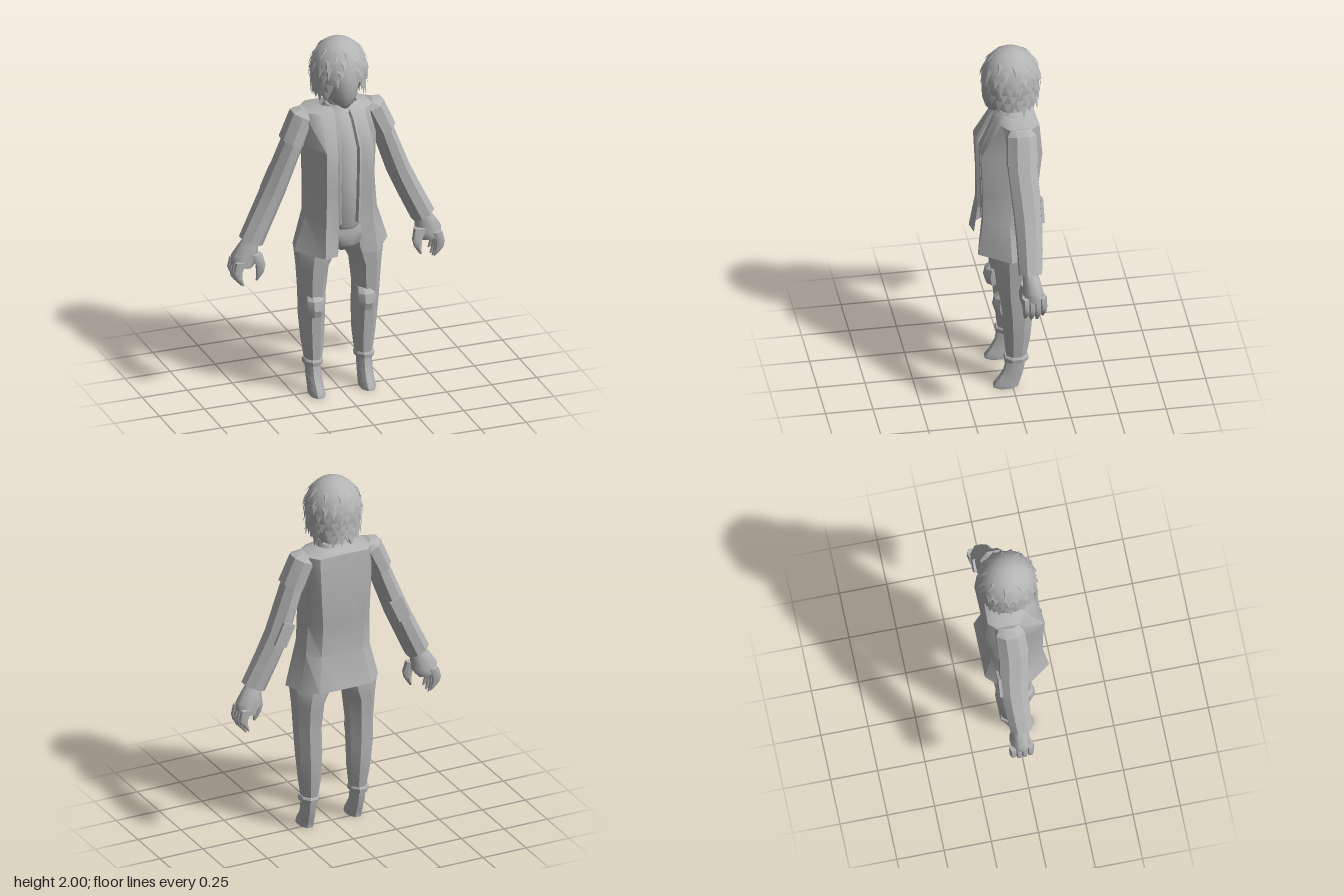
import * as THREE from 'three';
import { toCreasedNormals } from 'three/addons/utils/BufferGeometryUtils.js';

const grey = new THREE.MeshStandardMaterial({ color: 0xb4b4b4, side: THREE.DoubleSide });
grey.name = 'plain grey';

function meshFrom(name, positions, crease) {
  const g = new THREE.BufferGeometry();
  g.setAttribute('position', new THREE.Float32BufferAttribute(positions, 3));
  const mesh = new THREE.Mesh(toCreasedNormals(g, crease), grey);
  mesh.name = name;
  return mesh;
}

// Skin rows of points, listed from top to bottom
function skin(name, rows, closed = true, crease = 0.6) {
  const pos = [];
  const tri = (...pts) => pts.forEach((p) => pos.push(...p));
  const n = rows[0].length;
  for (let i = 0; i < rows.length - 1; i++) {
    for (let j = 0; j < (closed ? n : n - 1); j++) {
      const k = (j + 1) % n;
      tri(rows[i][j], rows[i][k], rows[i + 1][j]);
      tri(rows[i][k], rows[i + 1][k], rows[i + 1][j]);
    }
  }
  if (closed) {
    const top = rows[0], end = rows[rows.length - 1];
    for (let j = 1; j < n - 1; j++) {
      tri(top[0], top[j + 1], top[j]);
      tri(end[0], end[j], end[j + 1]);
    }
  }
  return meshFrom(name, pos, crease);
}

// Loft of rings [x, y, z, half width, half depth]; tilt leans the rings, s mirrors
function loft(name, rings, { n = 8, tilt = 0, s = 1, crease = 0.6 } = {}) {
  const fit = 1 / Math.cos(Math.PI / n);
  const rows = rings.map(([x, y, z, w, d]) => Array.from({ length: n }, (_, j) => {
    const t = ((j + 0.5) / n) * Math.PI * 2;
    const u = Math.cos(t) * w * fit;
    return [s * x + u * Math.cos(tilt), y + u * Math.sin(tilt * s), z + Math.sin(t) * d * fit];
  }));
  return skin(name, rows, true, crease);
}

// Open-fronted jacket from half outlines (front edge round to centre back)
function jacket() {
  const halves = [
    [1.625, [.04, .03], [.07, .02], [.10, -.01], [.10, -.05], [.07, -.09], [0, -.10]],
    [1.60, [.05, .065], [.12, .055], [.20, .0], [.19, -.09], [.14, -.145], [0, -.14]],
    [1.42, [.065, .155], [.13, .16], [.20, .01], [.18, -.10], [.14, -.16], [0, -.155]],
    [1.20, [.065, .148], [.125, .15], [.19, .01], [.18, -.08], [.12, -.14], [0, -.14]],
    [1.02, [.058, .145], [.13, .15], [.20, .02], [.185, -.07], [.12, -.122], [0, -.122]],
    [.83, [.07, .165], [.145, .18], [.26, .02], [.23, -.08], [.15, -.162], [0, -.162]],
  ];
  const rows = halves.map(([y, ...half]) => [
    ...half.map(([x, z]) => [-x, y, z]),
    ...half.slice(0, -1).reverse().map(([x, z]) => [x, y, z]),
  ]);
  return skin('jacket', rows, false, 0.7);
}

// Point on the hair surface; a is the angle from the front
function hairPoint(a, y, out = 0) {
  const k = y > 1.82 ? Math.sqrt(Math.max(0, 1 - ((y - 1.82) / 0.175) ** 2)) : 1 - 0.7 * (1.82 - y);
  return [(0.148 * k + out) * Math.sin(a), y, -0.015 + (0.152 * k + out) * Math.cos(a)];
}

function hairLine(a) {
  const off = Math.abs(Math.atan2(Math.sin(a), Math.cos(a)));
  return off < 0.8 ? 1.87 - 0.15 * (off / 0.8) : off < 1.8 ? 1.70 : 1.685;
}

function hair() {
  const group = new THREE.Group();
  group.name = 'hair';
  // Smooth cap with a ragged lower edge
  const rows = [], n = 48;
  for (let i = 0; i <= 12; i++) {
    const f = Math.sin((i / 12) * Math.PI / 2);
    const drop = 1 - Math.sqrt(1 - f * f);
    rows.push(Array.from({ length: n + 1 }, (_, j) => {
      const a = (j / n) * Math.PI * 2;
      const hem = hairLine(a) + (j % 2 ? -0.02 : 0.012);
      return hairPoint(a, 1.995 + (hem - 1.995) * drop);
    }).reverse());
  }
  group.add(skin('hairCap', rows, false, 1.2));

  // Overlapping pointed tufts in staggered rows
  let seed = 7;
  const rnd = () => (seed = (seed * 16807) % 2147483647) / 2147483647;
  const pos = [];
  [1.955, 1.915, 1.875, 1.83, 1.785, 1.745, 1.71].forEach((y0, r) => {
    const count = r < 2 ? 9 : 17;
    for (let i = 0; i < count; i++) {
      const a = ((i + (r % 2) / 2 + rnd() * 0.4) / count) * Math.PI * 2;
      const y = y0 + (rnd() - 0.5) * 0.02, len = 0.05 + rnd() * 0.025, w = 0.15;
      if (y < hairLine(a) + 0.02) continue;
      const L = hairPoint(a - w, y, 0.001), R = hairPoint(a + w, y, 0.001);
      const M = hairPoint(a, y - len * 0.35, 0.007);
      const T = hairPoint(a + (rnd() - 0.5) * 0.1, y - len, 0.013);
      for (const p of [L, M, R, L, T, M, M, T, R, L, R, T]) pos.push(...p);
    }
  });
  group.add(meshFrom('hairTufts', pos, 0.5));
  return group;
}

function arm(s) {
  const g = new THREE.Group();
  g.name = s > 0 ? 'leftArm' : 'rightArm';
  const lean = { tilt: 0.42, s };
  g.add(loft('shoulderSleeve', [
    [.165, 1.60, -.04, .03, .05], [.19, 1.575, -.04, .065, .075], [.255, 1.435, -.035, .062, .08],
  ], { ...lean, crease: 0.4 }));
  g.add(loft('sleeve', [
    [.235, 1.48, -.035, .05, .07], [.258, 1.41, -.035, .053, .075], [.345, 1.18, -.05, .058, .072],
    [.40, 1.06, -.048, .060, .066], [.477, .90, -.04, .062, .058],
  ], { ...lean, crease: 0.4 }));
  // Elbow patch
  const patch = new THREE.Mesh(new THREE.BoxGeometry(.07, .13, .016), grey);
  patch.name = 'elbowPatch';
  patch.position.set(s * .335, 1.2, -.122);
  patch.rotation.z = 0.42 * s;
  g.add(patch);
  // Palm, curled fingers and thumb
  g.add(loft('palm', [
    [.47, .92, -.04, .035, .035], [.49, .87, -.045, .05, .042], [.508, .81, -.05, .068, .05],
    [.525, .765, -.05, .052, .052],
  ], { tilt: 0.25, s, crease: 1 }));
  for (let i = 0; i < 4; i++) {
    const z = -.095 + i * .03, d = i === 0 ? .02 : i === 3 ? .01 : 0;
    g.add(loft('finger', [
      [.545, .80, z, .026, .018], [.562, .745, z, .022, .017],
      [.558, .70 + d, z, .018, .015], [.53, .655 + d, z, .004, .005],
    ], { n: 6, s, crease: 1 }));
  }
  g.add(loft('thumb', [
    [.46, .83, -.02, .035, .025], [.435, .77, -.01, .024, .02],
    [.438, .73, -.008, .018, .017], [.455, .685, -.01, .005, .006],
  ], { n: 6, s, crease: 1 }));
  return g;
}

function leg(s) {
  const g = new THREE.Group();
  g.name = s > 0 ? 'leftLeg' : 'rightLeg';
  g.add(loft('trouserLeg', [
    [.105, .95, -.005, .09, .10], [.125, .83, -.015, .11, .11], [.147, .72, -.015, .077, .098],
    [.15, .58, -.015, .066, .085], [.147, .44, -.025, .064, .077], [.142, .30, -.025, .056, .066],
    [.14, .18, -.02, .042, .05],
  ], { s, crease: 0.4 }));
  // Knee pads sit slightly off centre
  const k = s > 0 ? .128 : .155;
  g.add(loft('kneePad', [
    [k, .575, .03, .04, .035], [k, .55, .045, .046, .045], [k, .50, .05, .047, .05], [k, .46, .045, .046, .042],
  ], { s, crease: 0.4 }));
  g.add(loft('ankleCuff', [
    [.143, .192, -.02, .045, .058], [.143, .182, -.02, .05, .063], [.143, .16, -.02, .047, .06],
  ], { s, crease: 0.4 }));
  g.add(loft('shoe', [
    [.143, .17, -.02, .037, .048], [.142, .10, -.008, .037, .05], [.14, .045, .015, .038, .058],
    [.14, .015, .032, .04, .064], [.14, 0, .034, .038, .064],
  ], { s, crease: 0.7 }));
  return g;
}

export function createModel() {
  const model = new THREE.Group();
  model.name = 'figure';
  model.add(jacket());
  model.add(loft('shirt', [
    [0, 1.61, -.02, .07, .06], [0, 1.57, -.01, .10, .085], [0, 1.42, .005, .115, .14],
    [0, 1.2, .01, .11, .135], [0, .98, .015, .11, .125], [0, .96, .01, .10, .12],
  ], { n: 16, crease: 0.9 }));
  model.add(loft('hips', [
    [0, 1.0, .005, .16, .108], [0, .93, .005, .17, .12], [0, .86, 0, .12, .12], [0, .82, -.01, .06, .085],
  ], { n: 12, crease: 0.8 }));
  // Folded front edges beside the shirt opening
  for (const s of [1, -1]) {
    const rows = [[1.61, .045, .06], [1.56, .055, .092], [1.42, .065, .157], [1.2, .065, .15], [1.0, .06, .146]]
      .map(([y, x, z]) => [[s * (x - .022), y, z - .012], [s * (x - .012), y, z + .004], [s * x, y, z]]);
    if (s < 0) rows.forEach((r) => r.reverse());
    model.add(skin('lapel', rows.map((r) => r.reverse()), false, 0.8));
  }
  // Neck and collar
  model.add(loft('neck', [[0, 1.70, -.01, .05, .055], [0, 1.57, -.02, .06, .06]], { n: 12, crease: 1 }));
  model.add(loft('collar', [
    [0, 1.63, -.02, .068, .065], [0, 1.60, -.02, .085, .09],
  ], { n: 12, crease: 0.6 }));
  model.add(loft('face', [
    [0, 1.92, -.01, .08, .10], [0, 1.85, .01, .095, .12], [0, 1.77, .015, .09, .12],
    [0, 1.71, .025, .08, .105], [0, 1.66, .045, .052, .07], [0, 1.638, .065, .022, .035],
  ], { n: 14, crease: 1 }));
  model.add(hair());
  for (const s of [1, -1]) model.add(arm(s), leg(s));
  return model;
}
